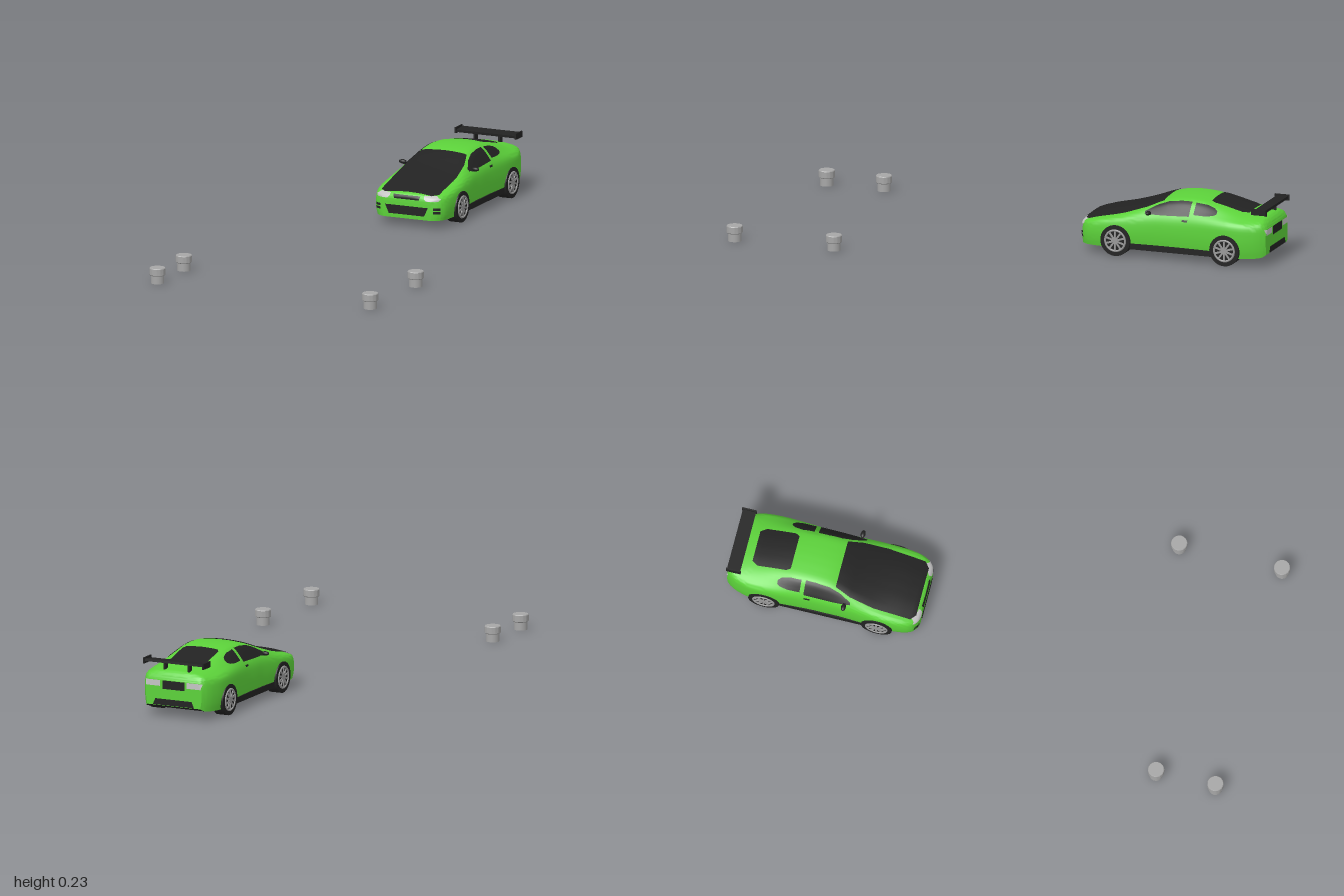
import * as THREE from 'three';
import { toCreasedNormals } from 'three/addons/utils/BufferGeometryUtils.js';

const material = (name, color, side = THREE.FrontSide) => {
  const m = new THREE.MeshStandardMaterial({ color, side });
  m.name = name;
  return m;
};

// Body stations along z: z, bottom, half width, belt height, roof half width, top
const STATIONS = [
  [-0.268, 0.03, 0.098, 0.088, 0.088, 0.112],
  [-0.276, 0.03, 0.118, 0.1, 0.102, 0.122],
  [-0.295, 0.03, 0.138, 0.109, 0.112, 0.13],
  [-0.34, 0.03, 0.15, 0.12, 0.117, 0.142],
  [-0.42, 0.03, 0.153, 0.132, 0.118, 0.16],
  [-0.5, 0.03, 0.15, 0.142, 0.112, 0.185],
  [-0.56, 0.03, 0.147, 0.148, 0.1, 0.208],
  [-0.61, 0.03, 0.147, 0.15, 0.094, 0.223],
  [-0.67, 0.03, 0.147, 0.152, 0.092, 0.229],
  [-0.74, 0.03, 0.15, 0.154, 0.09, 0.226],
  [-0.82, 0.03, 0.154, 0.154, 0.088, 0.211],
  [-0.9, 0.03, 0.152, 0.151, 0.09, 0.191],
  [-0.95, 0.032, 0.14, 0.149, 0.098, 0.181],
  [-0.98, 0.036, 0.126, 0.146, 0.1, 0.174],
  [-0.994, 0.045, 0.115, 0.135, 0.092, 0.158],
];

// Half cross-section from the sill up to the centre of the roof
function halfSection([z, bot, w, belt, roof, top], steps) {
  const pts = [
    [w * 0.95, bot], [w * 0.985, bot + (belt - bot) * 0.25], [w, bot + (belt - bot) * 0.65],
    [w * 0.965, belt], [(w * 0.965 + roof) / 2 + 0.004, (belt + top - 0.01) / 2 + 0.002],
    [roof, top - 0.01], [roof * 0.5, top - 0.002], [0, top],
  ].map(([x, y]) => new THREE.Vector3(x, y, z));
  const curve = new THREE.CatmullRomCurve3(pts);
  return Array.from({ length: steps + 1 }, (_, i) => curve.getPoint(i / steps));
}

// Smoothly blended stations
function blendedStations(per) {
  const out = [];
  const last = STATIONS.length - 1;
  const slope = (i, k) => {
    const a = STATIONS[Math.max(i - 1, 0)], b = STATIONS[Math.min(i + 1, last)];
    return (b[k] - a[k]) / (b[0] - a[0]);
  };
  for (let i = 0; i < last; i++) {
    const a = STATIONS[i], b = STATIONS[i + 1], h = b[0] - a[0];
    for (let s = 0; s < per; s++) {
      const t = s / per, t2 = t * t, t3 = t2 * t;
      out.push(a.map((v, k) => k === 0 ? v + h * t
        : (2 * t3 - 3 * t2 + 1) * v + (t3 - 2 * t2 + t) * h * slope(i, k)
        + (3 * t2 - 2 * t3) * b[k] + (t3 - t2) * h * slope(i + 1, k)));
    }
  }
  out.push(STATIONS[last]);
  return out;
}

function meshGeometry(pos, idx) {
  const g = new THREE.BufferGeometry();
  g.setAttribute('position', new THREE.Float32BufferAttribute(pos, 3));
  g.setIndex(idx);
  g.computeVertexNormals();
  return g;
}

export function createModel() {
  const model = new THREE.Group();
  model.name = 'sportsCarAndPosts';
  const green = material('greenPaint', 0x5cd23a);
  const dark = material('blackTrim', 0x222222, THREE.DoubleSide);
  const lamp = material('lampGrey', 0xc4c4c4, THREE.DoubleSide);
  const metal = material('wheelGrey', 0x999999);
  const postGrey = material('postGrey', 0xa6a6a6);
  const car = new THREE.Group();
  car.name = 'car';
  model.add(car);

  const add = (name, geo, mat, x = 0, y = 0, z = 0, parent = car) => {
    const m = new THREE.Mesh(geo, mat);
    m.name = name;
    m.position.set(x, y, z);
    parent.add(m);
    return m;
  };
  const box = (name, w, h, d, mat, x, y, z) => add(name, new THREE.BoxGeometry(w, h, d), mat, x, y, z);

  // Lofted body shell with closed nose and tail
  const half = 28, ring = half * 2 + 1, pos = [], idx = [], floorPos = [], floorIdx = [];
  const stations = blendedStations(4);
  stations.forEach((st, i) => {
    const h = halfSection(st, half);
    for (let j = 0; j < ring; j++) {
      const p = h[j <= half ? j : ring - 1 - j];
      pos.push(j <= half ? p.x : -p.x, p.y, p.z);
    }
    floorPos.push(h[0].x, h[0].y, h[0].z, -h[0].x, h[0].y, h[0].z);
    if (i === stations.length - 1) return;
    for (let j = 0; j < ring - 1; j++) {
      const a = i * ring + j, b = a + ring;
      idx.push(a, b, a + 1, b, b + 1, a + 1);
    }
    const f = i * 2;
    floorIdx.push(f, f + 1, f + 2, f + 1, f + 3, f + 2);
  });
  const tail = (stations.length - 1) * ring;
  for (let j = 0; j < half; j++) {
    const k = ring - 1 - j;
    idx.push(j, j + 1, k, j + 1, k - 1, k);
    idx.push(tail + j, tail + k, tail + j + 1, tail + j + 1, tail + k, tail + k - 1);
  }
  const body = add('body', toCreasedNormals(meshGeometry(pos, idx), 0.7), green);
  add('floor', meshGeometry(floorPos, floorIdx), dark);

  // Thin panel laid on the body; rows are [b, a0, a1] in the chosen direction
  const caster = new THREE.Raycaster();
  const DIRS = {
    front: { d: [0, 0, -1], o: (a, b) => [a, b, 1] },
    back: { d: [0, 0, 1], o: (a, b) => [a, b, -2] },
    top: { d: [0, -1, 0], o: (a, b) => [a, 1, b] },
    left: { d: [-1, 0, 0], o: (a, b) => [1, a, b] },
    right: { d: [1, 0, 0], o: (a, b) => [-1, a, b] },
  };
  function panel(name, mat, view, rows, cols = 10, sub = 5, lift = 0.003) {
    const { d, o } = DIRS[view], dir = new THREE.Vector3(...d), p = [], t = [];
    let depth = 1, n = 0;
    for (let r = 0; r < (rows.length - 1) * sub + 1; r++, n++) {
      const i = Math.min(Math.floor(r / sub), rows.length - 2), f = r / sub - i;
      const [b, a0, a1] = rows[i].map((v, k) => v + (rows[i + 1][k] - v) * f);
      for (let c = 0; c <= cols; c++) {
        const start = new THREE.Vector3(...o(a0 + (a1 - a0) * c / cols, b));
        caster.set(start, dir);
        const hit = caster.intersectObject(body)[0];
        if (hit) depth = hit.distance;
        p.push(...start.addScaledVector(dir, depth - lift).toArray());
        if (r > 0 && c > 0) {
          const q = n * (cols + 1) + c, u = q - cols - 1;
          t.push(u - 1, u, q - 1, u, q, q - 1);
        }
      }
    }
    add(name, meshGeometry(p, t), mat);
  }

  // Bonnet with windscreen, and rear window
  panel('bonnetAndWindscreen', dark, 'top', [[-0.282, -0.095, 0.095], [-0.3, -0.117, 0.117],
    [-0.44, -0.12, 0.12], [-0.53, -0.11, 0.11], [-0.588, -0.092, 0.092]], 16);
  panel('rearWindow', dark, 'top', [[-0.765, -0.065, 0.065], [-0.78, -0.074, 0.074],
    [-0.89, -0.074, 0.074], [-0.912, -0.06, 0.06]], 12);

  // Nose openings
  panel('grille', dark, 'front', [[0.103, -0.05, 0.05], [0.118, -0.055, 0.055]], 10, 4);
  panel('bumperIntake', dark, 'front', [[0.045, -0.072, 0.072], [0.078, -0.087, 0.087]], 10, 4);

  // Tail details
  panel('numberPlateRecess', dark, 'back', [[0.108, -0.045, 0.045], [0.14, -0.045, 0.045]], 8, 4);
  panel('diffuser', dark, 'back', [[0.047, -0.085, 0.085], [0.07, -0.075, 0.075]], 10, 4);

  // Details mirrored on both sides
  for (const s of [1, -1]) {
    const side = s > 0 ? 'left' : 'right';
    panel(side + 'Headlight', lamp, 'front', [[0.102, s * 0.078, s * 0.122], [0.11, s * 0.07, s * 0.13],
      [0.121, s * 0.068, s * 0.112]], 8, 4);
    for (const y of [0.056, 0.069])
      panel(side + 'FogVent', dark, 'front', [[y, s * 0.106, s * 0.13], [y + 0.009, s * 0.106, s * 0.13]], 6, 2);
    panel(side + 'TailLight', lamp, 'back', [[0.118, s * 0.055, s * 0.112], [0.14, s * 0.055, s * 0.118]], 8, 4);
    panel(side + 'DoorWindow', dark, side, [[-0.525, 0.166, 0.174], [-0.57, 0.165, 0.198],
      [-0.61, 0.166, 0.212], [-0.66, 0.168, 0.218], [-0.7, 0.17, 0.218]], 8);
    panel(side + 'QuarterWindow', dark, side, [[-0.716, 0.177, 0.216], [-0.76, 0.176, 0.211],
      [-0.79, 0.179, 0.202], [-0.803, 0.184, 0.193]], 8);
    panel(side + 'DoorHandle', dark, side, [[-0.675, 0.15, 0.157], [-0.697, 0.15, 0.157]], 2, 2);
    box(side + 'Sill', 0.012, 0.022, 0.32, dark, s * 0.143, 0.04, -0.632);

    // Wing mirror
    box(side + 'MirrorArm', 0.02, 0.006, 0.01, dark, s * 0.134, 0.167, -0.545);
    const mirror = add(side + 'Mirror', new THREE.SphereGeometry(1, 14, 10), dark, s * 0.148, 0.172, -0.545);
    mirror.scale.set(0.015, 0.008, 0.009);

    // Rear wing supports and end plates
    box(side + 'WingSupport', 0.008, 0.034, 0.022, dark, s * 0.05, 0.189, -0.962);
    box(side + 'WingEndPlate', 0.006, 0.022, 0.056, dark, s * 0.122, 0.207, -0.969);

    // Wheels with ten spokes
    for (const [end, z] of [['front', -0.418], ['rear', -0.846]]) {
      const wheel = new THREE.Group();
      wheel.name = end + (s > 0 ? 'Left' : 'Right') + 'Wheel';
      wheel.position.set(s * 0.135, 0.058, z);
      wheel.rotation.y = s * Math.PI / 2;
      car.add(wheel);
      add('tyre', new THREE.CylinderGeometry(0.058, 0.058, 0.044, 32).rotateX(Math.PI / 2), dark, 0, 0, 0, wheel);
      add('rim', new THREE.TorusGeometry(0.039, 0.004, 8, 32), metal, 0, 0, 0.022, wheel);
      add('hub', new THREE.CylinderGeometry(0.01, 0.01, 0.006, 16).rotateX(Math.PI / 2), metal, 0, 0, 0.022, wheel);
      for (let i = 0; i < 10; i++) {
        const spoke = add('spoke', new THREE.BoxGeometry(0.007, 0.032, 0.005).translate(0, 0.023, 0),
          metal, 0, 0, 0.022, wheel);
        spoke.rotation.z = i * Math.PI / 5;
      }
    }
  }
  const wing = box('rearWing', 0.244, 0.009, 0.05, dark, 0, 0.207, -0.969);
  wing.rotation.x = 0.1;

  // Capped ground posts
  for (const [x, z] of [[-0.44, 0.715], [-0.44, 0.94], [0.44, 0.58], [0.44, 0.97]]) {
    const post = new THREE.Group();
    post.name = 'post';
    post.position.set(x, 0, z);
    model.add(post);
    add('stem', new THREE.CylinderGeometry(0.0245, 0.0245, 0.034, 28), postGrey, 0, 0.017, 0, post);
    const cap = [[0, 0.03], [0.027, 0.03], [0.03, 0.033], [0.03, 0.056], [0.028, 0.059], [0, 0.059]]
      .map(([r, y]) => new THREE.Vector2(r, y));
    add('cap', toCreasedNormals(new THREE.LatheGeometry(cap, 28), 0.5), postGrey, 0, 0, 0, post);
  }
  return model;
}
